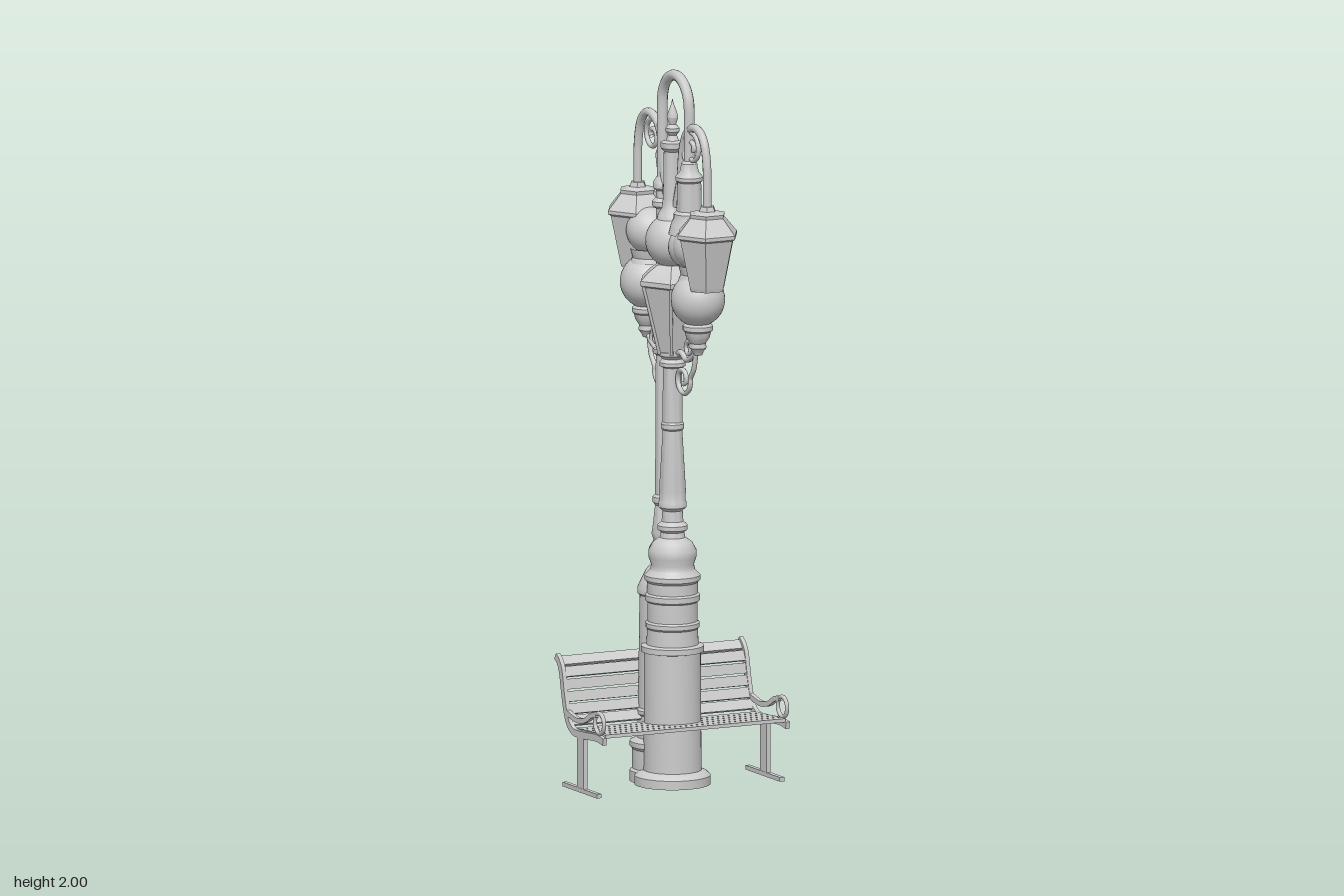
import * as THREE from 'three';
import { toCreasedNormals, mergeGeometries } from 'three/addons/utils/BufferGeometryUtils.js';

const smooth = new THREE.MeshStandardMaterial({ color: 0xcccccc, side: THREE.DoubleSide });
const faceted = new THREE.MeshStandardMaterial({ color: 0xcccccc, side: THREE.DoubleSide, flatShading: true });

function add(parent, name, geometry, x = 0, y = 0, z = 0, material = smooth) {
  const mesh = new THREE.Mesh(geometry, material);
  mesh.name = name;
  mesh.position.set(x, y, z);
  parent.add(mesh);
  return mesh;
}

// Turned part from [radius, height] pairs, bottom to top
function turned(profile, sides = 32) {
  const pts = profile.map(([r, y]) => new THREE.Vector2(r, y));
  return toCreasedNormals(new THREE.LatheGeometry(pts, sides), 0.6);
}

// Six-sided part with corners on the x axis
function hex(profile) {
  return new THREE.LatheGeometry(profile.map(([r, y]) => new THREE.Vector2(r, y)), 6, Math.PI / 2);
}

// Tube along [z, y] points in the middle plane
function pipe(points, radius, segments = 48) {
  const curve = new THREE.CatmullRomCurve3(points.map(([z, y]) => new THREE.Vector3(0, y, z)));
  return new THREE.TubeGeometry(curve, segments, radius, 10);
}

// Points of a spiral winding inwards around [cz, cy]
function spiral(cz, cy, r0, r1, start, sweep, n = 28) {
  return Array.from({ length: n + 1 }, (_, i) => {
    const t = i / n, a = start + sweep * t, r = r0 + (r1 - r0) * t;
    return [cz + r * Math.cos(a), cy + r * Math.sin(a)];
  });
}

function mainPost() {
  const g = new THREE.Group();
  g.name = 'mainPost';
  add(g, 'mainColumn', turned([
    [0, 0], [0.105, 0], [0.105, 0.025], [0.095, 0.035], [0.08, 0.04], [0.078, 0.37], [0.087, 0.372],
    [0.087, 0.388], [0.072, 0.392], [0.07, 0.435], [0.075, 0.44], [0.075, 0.452], [0.069, 0.457],
    [0.069, 0.51], [0.076, 0.515], [0.076, 0.53], [0.07, 0.535], [0.07, 0.565], [0.077, 0.572],
    [0.077, 0.585], [0.062, 0.6], [0.059, 0.615], [0.066, 0.635], [0.066, 0.655], [0.054, 0.677],
    [0.035, 0.69], [0.032, 0.705], [0.042, 0.712], [0.042, 0.724], [0.03, 0.735], [0.028, 0.765],
    [0.039, 0.775], [0.039, 0.788], [0.036, 0.795], [0.037, 0.82], [0.027, 0.99], [0.032, 0.995],
    [0.032, 1.008], [0.028, 1.013], [0.026, 1.165], [0.036, 1.17], [0.036, 1.18], [0.028, 1.19],
    [0.04, 1.2], [0.04, 1.21], [0, 1.215]]));
  // Six-sided lantern with ribs, globe and upper spire
  add(g, 'centreLantern', hex([[0, 1.2], [0.04, 1.205], [0.088, 1.395], [0.098, 1.4], [0.098, 1.413],
    [0.075, 1.435], [0.045, 1.455], [0, 1.455]]), 0, 0, 0, faceted);
  for (let i = 0; i < 6; i++) {
    const a = i * Math.PI / 3, c = Math.cos(a), s = Math.sin(a);
    add(g, 'lanternRib', new THREE.TubeGeometry(new THREE.LineCurve3(
      new THREE.Vector3(0.04 * c, 1.205, 0.04 * s), new THREE.Vector3(0.09 * c, 1.4, 0.09 * s)), 1, 0.005, 6));
  }
  add(g, 'centreGlobe', new THREE.SphereGeometry(0.075, 32, 20), 0, 1.52, 0);
  add(g, 'spire', turned([[0.045, 1.575], [0.04, 1.595], [0.03, 1.61], [0.026, 1.64], [0.024, 1.77],
    [0.033, 1.78], [0.033, 1.795], [0.018, 1.8], [0.012, 1.815], [0.019, 1.825], [0.019, 1.835],
    [0.01, 1.845], [0.016, 1.865], [0.012, 1.88], [0.004, 1.9], [0, 1.918]], 24));
  return g;
}

function rearPost() {
  const g = new THREE.Group();
  g.name = 'rearPost';
  add(g, 'rearColumn', turned([
    [0, 0], [0.09, 0], [0.09, 0.03], [0.083, 0.036], [0.083, 0.09], [0.09, 0.098], [0.09, 0.112],
    [0.07, 0.122], [0.068, 0.185], [0.074, 0.19], [0.074, 0.2], [0.067, 0.206], [0.063, 0.52],
    [0.069, 0.525], [0.069, 0.54], [0.06, 0.56], [0.045, 0.59], [0.03, 0.607], [0.038, 0.63], [0.037, 0.65],
    [0.024, 0.672], [0.03, 0.69], [0.026, 0.715], [0.02, 0.77], [0.027, 0.778], [0.027, 0.793],
    [0.02, 0.8], [0.018, 1.19], [0.025, 1.195], [0.025, 1.207], [0.018, 1.212], [0.018, 1.6],
    [0.028, 1.607], [0.028, 1.62], [0.018, 1.63], [0.018, 1.65], [0.026, 1.657], [0.026, 1.672],
    [0.015, 1.69], [0, 1.69]]), 0, 0, -0.062);
  // Arch carrying the hanging lamp
  const arch = [[-0.062, 1.67], [-0.062, 1.78], [-0.062, 1.9]];
  for (let i = 1; i < 10; i++) {
    const a = Math.PI * (1 - i / 10);
    arch.push([0.02 + 0.082 * Math.cos(a), 1.9 + 0.085 * Math.sin(a)]);
  }
  arch.push([0.102, 1.9], [0.102, 1.82], [0.102, 1.74]);
  add(g, 'topArch', pipe(arch, 0.015));
  add(g, 'hangingLampCap', turned([[0.058, 1.555], [0.05, 1.585], [0.043, 1.6], [0.043, 1.612], [0.035, 1.62],
    [0.033, 1.7], [0.038, 1.705], [0.038, 1.715], [0.026, 1.73], [0.022, 1.752], [0.014, 1.76]], 24), 0, 0, 0.102);
  add(g, 'hangingGlobe', new THREE.SphereGeometry(0.062, 28, 18), 0, 1.52, 0.11);
  return g;
}

// One side of the lamp head, built towards +z
function lampArm() {
  const g = new THREE.Group();
  g.name = 'lampArm';
  // Gooseneck with an inner scroll
  add(g, 'gooseneck', pipe([[0.212, 1.61], [0.212, 1.7], [0.209, 1.765], [0.194, 1.82], [0.165, 1.85],
    [0.13, 1.855], [0.09, 1.835], [0.065, 1.79], [0.05, 1.7], [0.025, 1.62]], 0.012));
  add(g, 'neckScroll', pipe([[0.075, 1.69], ...spiral(0.12, 1.795, 0.056, 0.008, -2.2, -11)], 0.007, 90));
  add(g, 'hangingLantern', hex([[0, 1.415], [0.05, 1.415], [0.053, 1.425], [0.083, 1.56], [0.091, 1.565],
    [0.091, 1.575], [0.052, 1.62], [0.054, 1.63], [0.025, 1.637], [0.02, 1.65], [0, 1.65]]), 0, 0, 0.212, faceted);
  // Stacked globes on a turned cup
  add(g, 'lowerGlobe', new THREE.SphereGeometry(0.075, 32, 20), 0, 1.38, 0.155);
  add(g, 'globeNeck', turned([[0.05, 1.435], [0.044, 1.45], [0.048, 1.465], [0.05, 1.475]], 24), 0, 0, 0.147);
  add(g, 'upperGlobe', new THREE.SphereGeometry(0.064, 32, 20), 0, 1.525, 0.142);
  add(g, 'globeCup', turned([[0, 1.222], [0.012, 1.225], [0.016, 1.235], [0.024, 1.245], [0.022, 1.258],
    [0.033, 1.275], [0.036, 1.29], [0.042, 1.295], [0.042, 1.307], [0.03, 1.317]], 24), 0, 0, 0.155);
  // Scrolled bracket under the cup
  add(g, 'bracket', pipe([[0.155, 1.24], [0.125, 1.215], [0.085, 1.2], [0.05, 1.215], [0.025, 1.2]], 0.008));
  add(g, 'bracketScroll', pipe([[0.145, 1.235], [0.13, 1.18], ...spiral(0.065, 1.142, 0.046, 0.012, 0.2, -8)], 0.007, 80));
  add(g, 'smallScroll', pipe(spiral(0.1, 1.232, 0.03, 0.008, -1.2, 8), 0.006, 50));
  return g;
}

function bench() {
  const g = new THREE.Group();
  g.name = 'bench';
  const slat = (name, z, y, depth, tilt) => {
    add(g, name, new THREE.BoxGeometry(0.555, 0.01, depth), 0, y, z).rotation.x = tilt;
  };
  for (let i = 0; i < 5; i++) slat('seatSlat', 0.125 - i * 0.037, 0.176 - 0.002 * i, 0.031, -0.04);
  // Back slats follow the curve of the side frame
  const back = new THREE.CatmullRomCurve3([[-0.06, 0.178], [-0.082, 0.215], [-0.098, 0.265], [-0.112, 0.318],
    [-0.14, 0.352]].map(([z, y]) => new THREE.Vector3(0, y, z)));
  for (let i = 0; i < 6; i++) {
    const u = 0.06 + i * 0.176, p = back.getPointAt(u), t = back.getTangentAt(u);
    slat('backSlat', p.z, p.y, 0.029, Math.atan2(-t.y, t.z));
  }
  // Flat strip swept along [z, y] points for the side frame
  const strip = (points, width) => {
    const c = new THREE.SplineCurve(points.map(([z, y]) => new THREE.Vector2(z, y)));
    const left = [], right = [];
    for (let i = 0; i <= 30; i++) {
      const p = c.getPoint(i / 30), t = c.getTangent(i / 30);
      left.push(new THREE.Vector2(p.x - t.y * width / 2, p.y + t.x * width / 2));
      right.unshift(new THREE.Vector2(p.x + t.y * width / 2, p.y - t.x * width / 2));
    }
    const geo = new THREE.ExtrudeGeometry(new THREE.Shape([...left, ...right]), { depth: 0.012, bevelEnabled: false });
    return geo.translate(0, 0, -0.006).rotateY(-Math.PI / 2);
  };
  const frame = mergeGeometries([
    strip([[0.145, 0.163], [0.1, 0.168], [0.02, 0.162], [-0.04, 0.163], [-0.075, 0.19], [-0.097, 0.25],
      [-0.112, 0.315], [-0.126, 0.342], [-0.146, 0.357]], 0.02),
    strip([[0.1, 0.232], [0.07, 0.225], [0.03, 0.205], [-0.02, 0.198], [-0.08, 0.21]], 0.014)]);
  for (const side of [-1, 1]) {
    const x = side * 0.282;
    add(g, 'sideFrame', frame, x);
    add(g, 'armRing', new THREE.TorusGeometry(0.028, 0.006, 8, 28).rotateY(Math.PI / 2), x, 0.21, 0.113);
    add(g, 'leg', new THREE.BoxGeometry(0.012, 0.155, 0.04), x, 0.0825, 0.008);
    add(g, 'foot', new THREE.BoxGeometry(0.014, 0.012, 0.21), x, 0.006, 0.005);
  }
  return g;
}

export function createModel() {
  const model = new THREE.Group();
  model.name = 'streetLampsAndBench';
  const frontArm = lampArm(), backArm = lampArm();
  backArm.rotation.y = Math.PI;
  model.add(mainPost(), rearPost(), frontArm, backArm, bench());
  return model;
}
